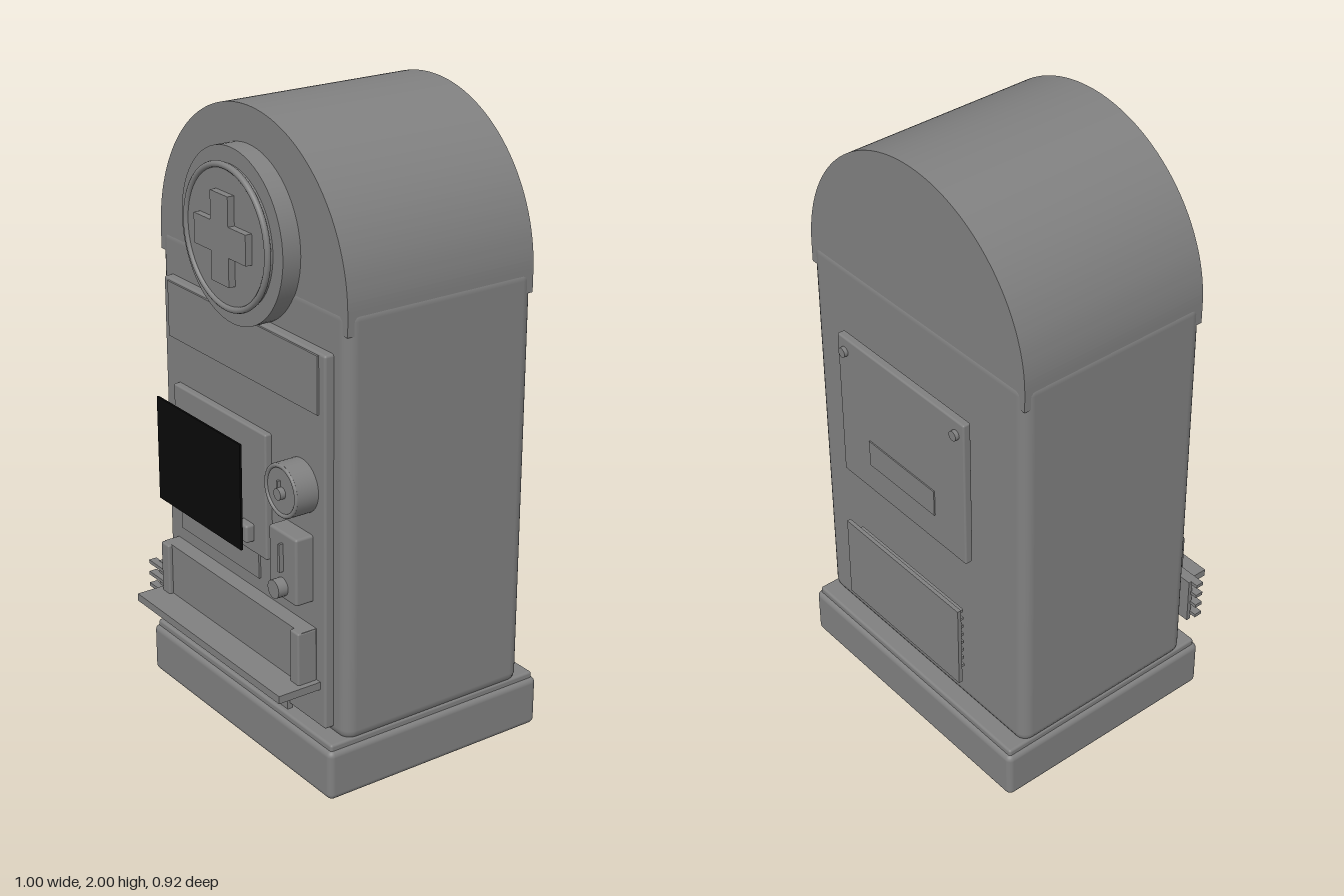
import * as THREE from 'three';
import { RoundedBoxGeometry } from 'three/addons/geometries/RoundedBoxGeometry.js';

export function createModel() {
  const root = new THREE.Group();
  root.name = 'vendingKiosk';
  const grey = new THREE.MeshStandardMaterial({ color: 0x808080 });
  grey.name = 'casing grey';
  const black = new THREE.MeshStandardMaterial({ color: 0x080808 });
  black.name = 'screen black';

  const add = (name, geometry, material = grey) => {
    const mesh = new THREE.Mesh(geometry, material);
    mesh.name = name;
    root.add(mesh);
    return mesh;
  };
  // Boxes are given by their extents along x, y and z
  const box = (name, x0, x1, y0, y1, z0, z1, r = 0, material = grey) => {
    const size = [x1 - x0, y1 - y0, z1 - z0];
    const g = r ? new RoundedBoxGeometry(...size, 3, r) : new THREE.BoxGeometry(...size);
    g.translate((x0 + x1) / 2, (y0 + y1) / 2, (z0 + z1) / 2);
    return add(name, g, material);
  };
  // Discs face along z
  const disc = (name, x, y, r, z0, z1, sides = 48) => {
    const g = new THREE.CylinderGeometry(r, r, z1 - z0, sides);
    g.rotateX(Math.PI / 2).translate(x, y, (z0 + z1) / 2);
    return add(name, g);
  };
  const ring = (name, x, y, r, tube, z) =>
    add(name, new THREE.TorusGeometry(r, tube, 10, 64).translate(x, y, z));

  // Base and cabinet
  box('base', -0.5, 0.5, 0, 0.165, -0.45, 0.345, 0.02);
  box('plinth', -0.488, 0.488, 0.15, 0.183, -0.438, 0.333, 0.008);
  box('cabinet', -0.49, 0.49, 0.165, 1.53, -0.385, 0.28, 0.04);

  // Arched roof
  const arch = new THREE.Shape();
  arch.moveTo(-0.487, 1.45);
  arch.lineTo(0.487, 1.45);
  arch.lineTo(0.487, 1.513);
  arch.absarc(0, 1.513, 0.487, 0, Math.PI, false);
  arch.closePath();
  add('archedRoof', new THREE.ExtrudeGeometry(arch, { depth: 0.66, bevelEnabled: false, curveSegments: 64 })
    .translate(0, 0, -0.382));

  // Front door with a header band
  box('frontDoor', -0.425, 0.425, 0.2, 1.385, 0.27, 0.31, 0.008);
  box('headerBand', -0.395, 0.395, 1.2, 1.378, 0.3, 0.316);

  // Round sign with a raised cross
  disc('signBacking', 0, 1.625, 0.264, 0.27, 0.338, 64);
  disc('signFace', 0, 1.625, 0.215, 0.33, 0.355, 64);
  ring('signRim', 0, 1.625, 0.212, 0.01, 0.354);
  const a = 0.135, b = 0.046;
  const cross = new THREE.Shape([
    [-b, -a], [b, -a], [b, -b], [a, -b], [a, b], [b, b],
    [b, a], [-b, a], [-b, b], [-a, b], [-a, -b], [-b, -b],
  ].map(([x, y]) => new THREE.Vector2(x, y)));
  add('signCross', new THREE.ExtrudeGeometry(cross, { depth: 0.025, bevelEnabled: false })
    .translate(0, 1.625, 0.352));

  // Screen, its frame and the strip beneath
  box('screenFrame', -0.35, 0.155, 0.655, 1.06, 0.3, 0.332, 0.006);
  box('screen', -0.33, 0.13, 0.7, 1.04, 0.398, 0.405, 0, black);
  for (const x of [-0.24, -0.09, 0.06]) box('shelfItem', x - 0.03, x + 0.03, 0.692, 0.75, 0.325, 0.36, 0.008);
  box('screenLabel', -0.345, 0.09, 0.565, 0.66, 0.3, 0.317);

  // Dial with a pointer
  disc('dialBody', 0.31, 0.955, 0.083, 0.3, 0.382);
  ring('dialRim', 0.31, 0.955, 0.076, 0.007, 0.381);
  disc('dialHub', 0.315, 0.95, 0.018, 0.37, 0.4, 20);
  box('dialPointer', 0.298, 0.306, 0.935, 0.985, 0.38, 0.392);

  // Coin unit
  box('coinPlate', 0.225, 0.365, 0.6, 0.815, 0.3, 0.37, 0.008);
  box('coinSlot', 0.291, 0.3, 0.69, 0.78, 0.36, 0.384);
  disc('coinButton', 0.295, 0.64, 0.029, 0.36, 0.403, 24);

  // Delivery tray and shelf
  box('trayBox', -0.38, 0.38, 0.345, 0.52, 0.3, 0.362);
  for (const s of [-1, 1]) {
    box('trayCheek', s * 0.36 - 0.022, s * 0.36 + 0.022, 0.345, 0.52, 0.31, 0.376, 0.006);
  }
  box('trayShelf', -0.4, 0.4, 0.325, 0.35, 0.3, 0.457);
  box('lowerPlate', -0.24, 0.24, 0.185, 0.285, 0.3, 0.318);

  // Small side vent
  box('sideVentPlate', -0.46, -0.305, 0.25, 0.41, 0.325, 0.34);
  for (let i = 0; i < 4; i++) {
    const y = 0.28 + i * 0.041;
    box('sideVentSlat', -0.485, -0.36, y - 0.006, y + 0.006, 0.335, 0.362);
  }

  // Rear service panel with screws and label
  box('rearPanel', -0.295, 0.295, 0.81, 1.32, -0.442, -0.415, 0.006);
  box('rearLabel', -0.155, 0.155, 0.91, 1, -0.446, -0.44);
  for (const x of [-0.26, 0.26]) disc('rearScrew', x, 1.272, 0.016, -0.455, -0.435, 16);

  // Rear vent with slats behind its cover
  box('rearVentCover', -0.275, 0.275, 0.328, 0.62, -0.461, -0.448);
  for (let i = 0; i < 8; i++) {
    const y = 0.362 + i * 0.032;
    box('rearVentSlat', -0.25, 0.25, y - 0.005, y + 0.005, -0.45, -0.42);
  }
  return root;
}
